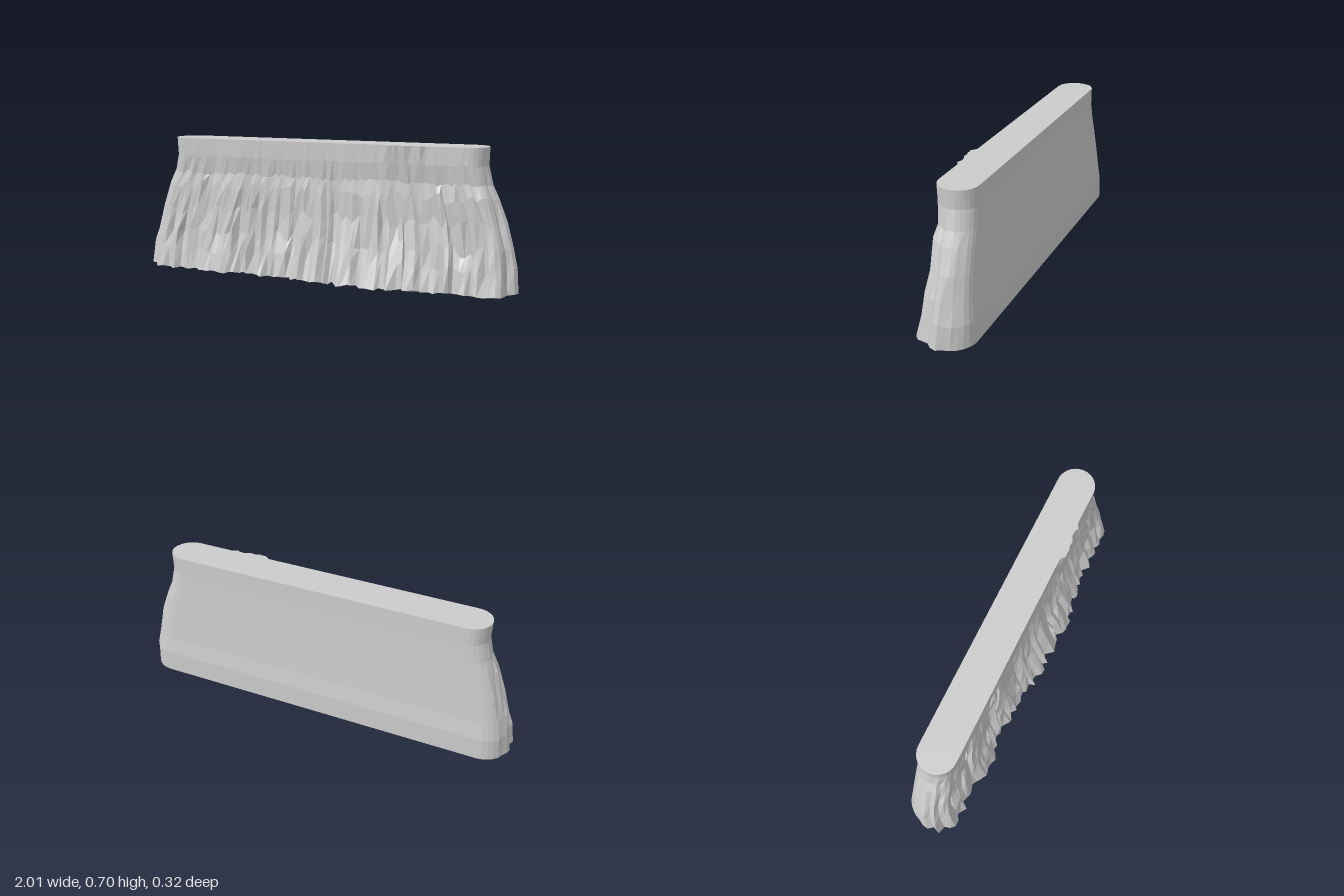
import * as THREE from 'three';

// small seeded random generator
function seeded(seed) {
  return () => {
    seed = (seed * 1664525 + 1013904223) % 4294967296;
    return seed / 4294967296;
  };
}

// levels from hem to top: height, half width, back z, front z, flare, ridge depth, height jitter
const LEVELS = [
  [0.008, 0.995, -0.165, 0.057, 1.0, 0.04, 0.007],
  [0.12, 0.987, -0.165, 0.057, 0.62, 0.036, 0.025],
  [0.21, 0.968, -0.155, 0.058, 0.3, 0.034, 0.035],
  [0.33, 0.937, -0.147, 0.058, 0.07, 0.03, 0.035],
  [0.45, 0.895, -0.143, 0.059, 0, 0.022, 0.03],
  [0.52, 0.865, -0.139, 0.047, 0, 0.012, 0.012],
  [0.61, 0.845, -0.136, 0.055, 0, 0.004, 0.006],
  [0.7, 0.85, -0.135, 0.056, 0, 0, 0],
];

// how far the hem reaches forward along the width, u from -1 to 1
const HEM = [0.11, 0.115, 0.125, 0.11, 0.125, 0.15, 0.152, 0.168, 0.14, 0.12, 0.12];
function hemAt(u) {
  const t = (u + 1) / 2 * (HEM.length - 1);
  const i = Math.min(HEM.length - 2, Math.floor(t));
  return THREE.MathUtils.lerp(HEM[i], HEM[i + 1], t - i);
}

// columns around the outline, counter-clockwise from above
function makeColumns() {
  const rand = seeded(11);
  const columns = [];
  const FRONT = 72, ARC = 14, BACK = 8;
  for (let i = 0; i <= FRONT; i++) {
    const inner = i > 0 && i < FRONT;
    const u = -1 + 2 * (i + (inner ? (rand() - 0.5) * 0.65 : 0)) / FRONT;
    columns.push({
      kind: 'front', u,
      ridge: rand(),                    // 1 is a crest, 0 a groove
      lean: inner ? (rand() - 0.5) * 0.02 : 0,
      bump: u > 0.5 && u < 0.72 ? rand() * 0.022 : 0,
    });
  }
  for (let i = 1; i <= ARC; i++) {
    columns.push({ kind: 'end', side: 1, a: -Math.PI / 2 + Math.PI * i / ARC, rough: rand() });
  }
  for (let i = 1; i < BACK; i++) columns.push({ kind: 'back', u: 1 - 2 * i / BACK });
  for (let i = 0; i < ARC; i++) {
    columns.push({ kind: 'end', side: -1, a: Math.PI / 2 + Math.PI * i / ARC, rough: rand() });
  }
  return columns;
}

function makeRing(columns, index) {
  const [y, half, back, front, flare, depth, jitter] = LEVELS[index];
  const rand = seeded(100 + index * 37);
  const edgeFlare = (u) => front + (hemAt(u) - front) * flare;
  const radius = (front - back) / 2 + flare * 0.015;
  const straight = half - radius;
  return columns.map((c) => {
    const wobble = (rand() - 0.5) * 2, shift = rand() - 0.5;
    if (c.kind === 'back') return new THREE.Vector3(c.u * straight, y, back);
    if (c.kind === 'end') {
      // rounded ends, smooth at the rear corner and rougher towards the front
      const frontZ = edgeFlare(c.side) - depth * 0.2;
      const mid = (frontZ + back) / 2, rz = (frontZ - back) / 2;
      const s = Math.sin(c.a);
      const loose = THREE.MathUtils.clamp((0.8 - s) / 0.8, 0, 1);
      const rough = depth * loose * (0.7 * (c.rough - 0.65) + 0.3 * shift);
      return new THREE.Vector3(
        c.side * straight + Math.cos(c.a) * (radius + rough),
        y + wobble * jitter * 0.6 * loose,
        mid - s * (rz + rough * 0.8));
    }
    // ragged tufts over the front
    const groove = (1 - THREE.MathUtils.clamp(c.ridge + shift * 0.6, 0, 1)) * depth;
    const fall = y > 0.55 ? c.bump * (y - 0.55) / 0.15 : 0;
    return new THREE.Vector3(
      c.u * straight + c.lean * (0.7 - y), y + wobble * jitter, edgeFlare(c.u) - groove + fall);
  });
}

function loft(rings) {
  const position = [];
  const tri = (...points) => points.forEach((p) => position.push(p.x, p.y, p.z));
  const count = rings[0].length;
  // walls
  for (let j = 0; j < rings.length - 1; j++) {
    for (let i = 0; i < count; i++) {
      const n = (i + 1) % count;
      const a = rings[j][i], b = rings[j][n], c = rings[j + 1][n], d = rings[j + 1][i];
      tri(a, b, c);
      tri(a, c, d);
    }
  }
  // top and underside
  const cap = (ring, up) => {
    const outline = ring.map((p) => new THREE.Vector2(p.x, -p.z));
    for (const [a, b, c] of THREE.ShapeUtils.triangulateShape(outline, [])) {
      if (up) tri(ring[a], ring[b], ring[c]);
      else tri(ring[c], ring[b], ring[a]);
    }
  };
  cap(rings[rings.length - 1], true);
  cap(rings[0], false);
  const geometry = new THREE.BufferGeometry();
  geometry.setAttribute('position', new THREE.Float32BufferAttribute(position, 3));
  geometry.computeVertexNormals();
  return geometry;
}

export function createModel() {
  const group = new THREE.Group();
  group.name = 'raggedFringe';
  const columns = makeColumns();
  const rings = LEVELS.map((_, i) => makeRing(columns, i));
  const material = new THREE.MeshStandardMaterial({ color: 0xcccccc, flatShading: true });
  const body = new THREE.Mesh(loft(rings), material);
  body.name = 'tuftedBody';
  group.add(body);
  return group;
}
